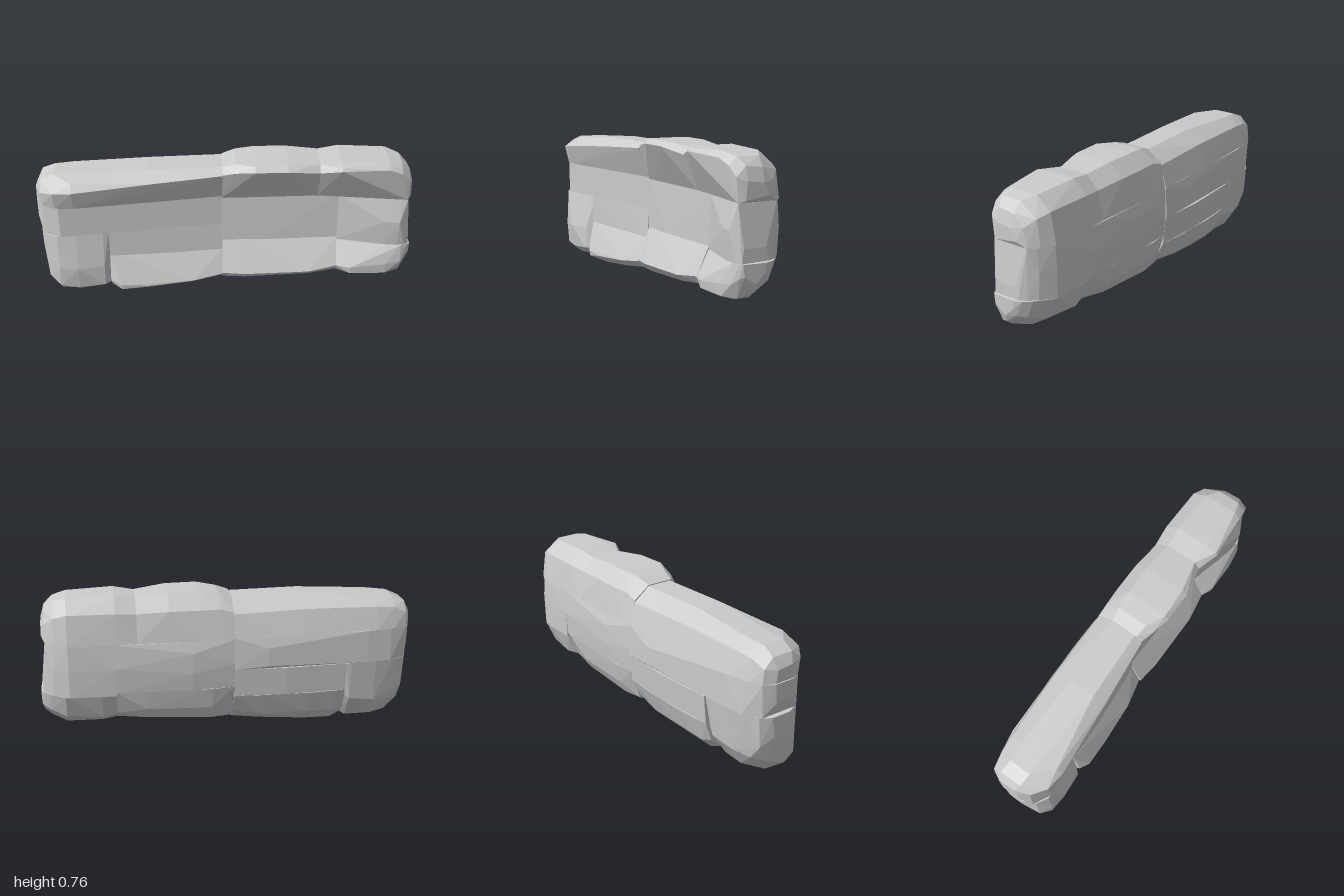
import * as THREE from 'three';
import { ConvexGeometry } from 'three/addons/geometries/ConvexGeometry.js';

const material = new THREE.MeshStandardMaterial({ color: 0xcccccc, flatShading: true });

// One faceted stone: the convex hull of cross-sections [x, z, y, z, y, ...]
function stone(name, ...sections) {
  const points = [];
  for (const [x, ...zy] of sections) {
    for (let i = 0; i < zy.length; i += 2) points.push(new THREE.Vector3(x, zy[i + 1], zy[i]));
  }
  const mesh = new THREE.Mesh(new ConvexGeometry(points), material);
  mesh.name = name;
  return mesh;
}

export function createModel() {
  const wall = new THREE.Group();
  wall.name = 'stoneWall';

  // Top course: overhanging fronts and rounded caps
  wall.add(
    stone('topLeftStone',
      [-1, 0.06, 0.545, 0.05, 0.62, -0.04, 0.61, -0.05, 0.545],
      [-0.97, 0.12, 0.54, 0.13, 0.62, 0.07, 0.67, -0.05, 0.67, -0.1, 0.62, -0.11, 0.54],
      [-0.9, 0.16, 0.54, 0.185, 0.64, 0.08, 0.7, -0.04, 0.7, -0.11, 0.65, -0.135, 0.54],
      [-0.8, 0.165, 0.54, 0.2, 0.65, 0.17, 0.69, 0.08, 0.705, -0.05, 0.705, -0.12, 0.66, -0.155, 0.54],
      [-0.4, 0.11, 0.54, 0.165, 0.68, 0.1, 0.73, -0.04, 0.73, -0.14, 0.67, -0.18, 0.54],
      [-0.02, 0.06, 0.54, 0.125, 0.7, 0.08, 0.73, -0.06, 0.73, -0.15, 0.66, -0.185, 0.54]),
    stone('topMiddleStone',
      [-0.02, 0.06, 0.53, 0.12, 0.7, 0.09, 0.735, -0.06, 0.735, -0.15, 0.67, -0.18, 0.53],
      [0.05, 0.06, 0.53, 0.145, 0.725, 0.1, 0.757, -0.07, 0.757, -0.15, 0.69, -0.185, 0.53],
      [0.15, 0.055, 0.53, 0.17, 0.74, 0.15, 0.765, -0.08, 0.765, -0.155, 0.69, -0.185, 0.53],
      [0.32, 0.05, 0.53, 0.17, 0.74, 0.14, 0.765, -0.08, 0.765, -0.155, 0.69, -0.18, 0.53],
      [0.49, 0.05, 0.53, 0.13, 0.71, 0.1, 0.75, -0.07, 0.75, -0.14, 0.68, -0.175, 0.53]),
    stone('topRightStone',
      [0.49, 0.05, 0.53, 0.13, 0.71, 0.1, 0.75, -0.07, 0.75, -0.14, 0.68, -0.175, 0.53],
      [0.6, 0.055, 0.53, 0.17, 0.74, 0.16, 0.755, 0.1, 0.765, -0.08, 0.765, -0.155, 0.69, -0.18, 0.53],
      [0.85, 0.095, 0.53, 0.145, 0.73, 0.11, 0.757, -0.07, 0.757, -0.15, 0.69, -0.18, 0.53],
      [0.92, 0.105, 0.53, 0.135, 0.7, 0.09, 0.74, -0.03, 0.74, -0.125, 0.67, -0.145, 0.53],
      [0.965, 0.11, 0.53, 0.12, 0.65, 0.07, 0.7, -0.02, 0.69, -0.08, 0.63, -0.1, 0.53],
      [0.985, 0.08, 0.54, 0.07, 0.63, -0.02, 0.62, -0.05, 0.56]));

  // Middle course: fronts recessed towards the centre of the wall
  wall.add(
    stone('middleLeftStone',
      [-1, 0.06, 0.54, 0.06, 0.44, -0.04, 0.44, -0.05, 0.54],
      [-0.97, 0.12, 0.54, 0.12, 0.365, -0.1, 0.365, -0.11, 0.54],
      [-0.88, 0.165, 0.54, 0.165, 0.365, -0.15, 0.365, -0.14, 0.54],
      [-0.75, 0.15, 0.54, 0.148, 0.365, -0.165, 0.365, -0.165, 0.54],
      [-0.2, 0.08, 0.54, 0.08, 0.365, -0.2, 0.38, -0.2, 0.48, -0.185, 0.54],
      [-0.02, 0.06, 0.54, 0.06, 0.365, -0.19, 0.365, -0.185, 0.54]),
    stone('thinLeftStone',
      [-0.63, 0.12, 0.365, 0.12, 0.21, -0.16, 0.21, -0.175, 0.365],
      [-0.3, 0.095, 0.365, 0.1, 0.21, -0.18, 0.21, -0.195, 0.365],
      [-0.02, 0.06, 0.365, 0.07, 0.21, -0.17, 0.21, -0.185, 0.365]),
    stone('middleStone',
      [-0.02, 0.06, 0.53, 0.06, 0.265, -0.175, 0.265, -0.185, 0.4, -0.18, 0.53],
      [0.2, 0.055, 0.53, 0.065, 0.265, -0.19, 0.265, -0.2, 0.36, -0.2, 0.47, -0.185, 0.53],
      [0.605, 0.045, 0.53, 0.05, 0.265, -0.18, 0.265, -0.19, 0.4, -0.18, 0.53]),
    stone('middleRightStone',
      [0.605, 0.045, 0.53, 0.05, 0.25, -0.185, 0.25, -0.19, 0.4, -0.18, 0.53],
      [0.85, 0.095, 0.53, 0.12, 0.4, 0.11, 0.25, -0.18, 0.25, -0.18, 0.4, -0.175, 0.53],
      [0.93, 0.11, 0.53, 0.135, 0.4, 0.12, 0.25, -0.13, 0.255, -0.14, 0.4, -0.13, 0.53],
      [0.967, 0.11, 0.53, 0.115, 0.25, -0.09, 0.255, -0.1, 0.53],
      [0.99, 0.1, 0.25, 0.09, 0.32, -0.03, 0.32, -0.05, 0.255]));

  // Bottom course: fronts lean out, undersides curve in towards the back
  wall.add(
    stone('bottomLeftCornerStone',
      [-0.99, 0.06, 0.36, 0.05, 0.25, -0.03, 0.25, -0.05, 0.36],
      [-0.96, 0.13, 0.365, 0.13, 0.1, 0.07, 0.06, -0.03, 0.1, -0.1, 0.2, -0.11, 0.365],
      [-0.9, 0.165, 0.365, 0.175, 0.17, 0.165, 0.05, 0.12, 0.01, 0, 0.02, -0.1, 0.12, -0.14, 0.365],
      [-0.8, 0.15, 0.365, 0.19, 0.17, 0.17, 0.04, 0.12, 0, 0.02, 0, -0.07, 0.03, -0.13, 0.13, -0.16, 0.365],
      [-0.66, 0.115, 0.365, 0.155, 0.17, 0.16, 0.05, 0.1, 0.01, -0.05, 0.02, -0.14, 0.15, -0.17, 0.365],
      [-0.63, 0.1, 0.36, 0.13, 0.05, 0.07, 0.03, -0.04, 0.04, -0.13, 0.18, -0.165, 0.36]),
    stone('bottomLeftStone',
      [-0.63, 0.12, 0.21, 0.15, 0.07, 0.12, 0.03, -0.05, 0.04, -0.12, 0.1, -0.16, 0.21],
      [-0.57, 0.118, 0.21, 0.175, 0.05, 0.17, 0.02, 0.12, 0, 0, 0, -0.07, 0.02, -0.13, 0.08, -0.17, 0.21],
      [-0.42, 0.105, 0.21, 0.17, 0.04, 0.13, 0.005, 0, 0.005, -0.07, 0.02, -0.14, 0.09, -0.18, 0.21],
      [-0.18, 0.085, 0.21, 0.155, 0.06, 0.11, 0.025, -0.06, 0.035, -0.13, 0.08, -0.18, 0.21],
      [-0.02, 0.07, 0.21, 0.12, 0.08, 0.08, 0.045, -0.05, 0.05, -0.12, 0.11, -0.17, 0.21]),
    stone('bottomMiddleStone',
      [-0.02, 0.06, 0.265, 0.13, 0.09, 0.1, 0.05, -0.05, 0.055, -0.12, 0.09, -0.175, 0.265],
      [0.1, 0.063, 0.265, 0.145, 0.09, 0.11, 0.05, -0.06, 0.055, -0.13, 0.08, -0.165, 0.15, -0.19, 0.265],
      [0.45, 0.055, 0.265, 0.145, 0.1, 0.11, 0.065, -0.05, 0.07, -0.13, 0.1, -0.165, 0.16, -0.185, 0.265],
      [0.605, 0.05, 0.265, 0.12, 0.12, 0.09, 0.08, -0.04, 0.08, -0.12, 0.13, -0.175, 0.265]),
    stone('bottomRightStone',
      [0.605, 0.05, 0.25, 0.12, 0.12, 0.09, 0.08, -0.04, 0.08, -0.12, 0.13, -0.175, 0.25],
      [0.68, 0.065, 0.25, 0.145, 0.12, 0.14, 0.08, 0.1, 0.065, -0.05, 0.07, -0.14, 0.12, -0.185, 0.25],
      [0.87, 0.11, 0.25, 0.145, 0.14, 0.14, 0.08, 0.07, 0.058, -0.02, 0.06, -0.11, 0.12, -0.17, 0.25],
      [0.95, 0.125, 0.25, 0.135, 0.15, 0.1, 0.08, 0.04, 0.08, -0.07, 0.15, -0.11, 0.25],
      [0.985, 0.11, 0.25, 0.11, 0.18, 0.04, 0.11, -0.03, 0.16, -0.07, 0.25],
      [1, 0.1, 0.248, 0.09, 0.19, 0.03, 0.15, -0.02, 0.2, -0.03, 0.248]));

  return wall;
}
